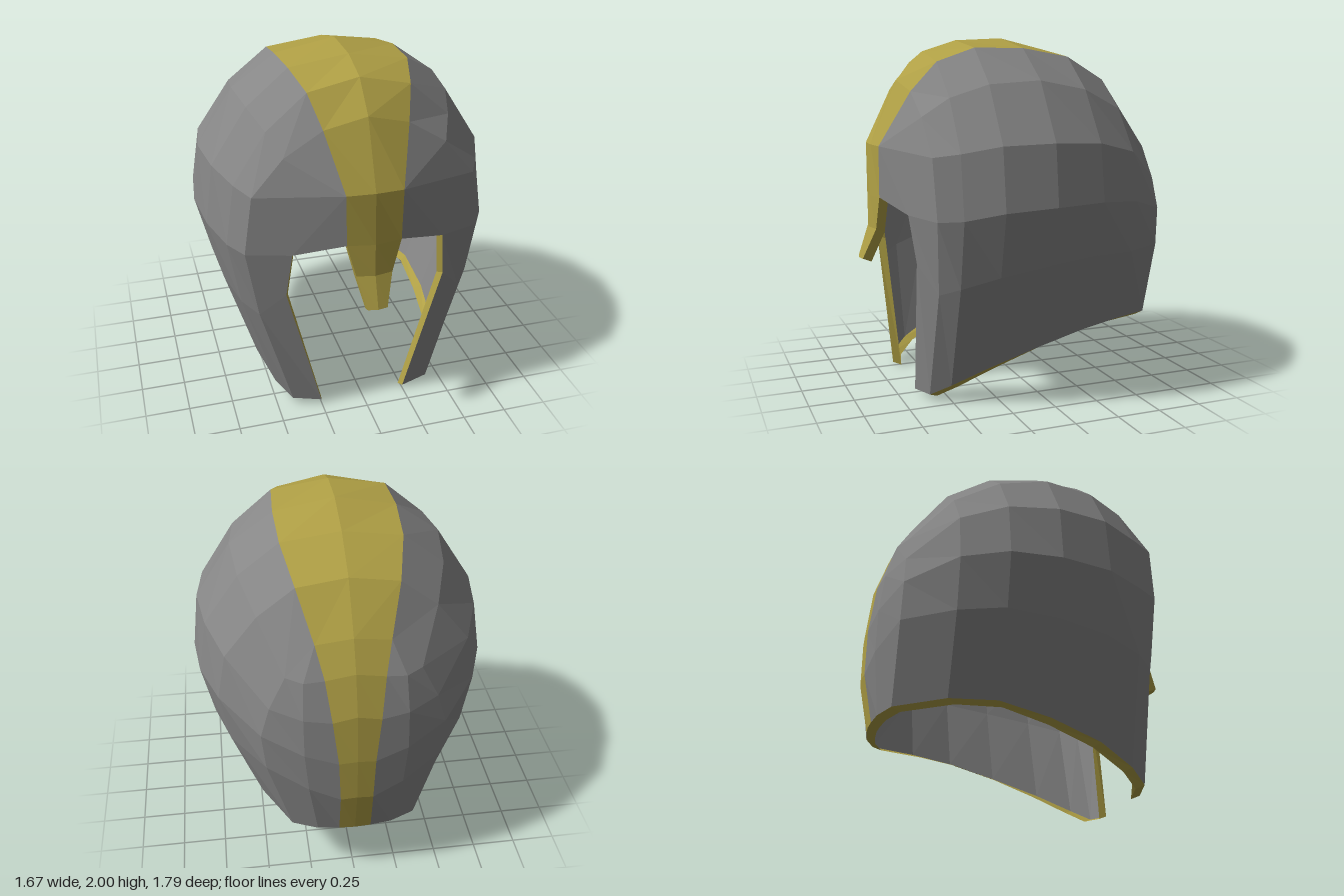
import * as THREE from 'three';

const RIM_DEPTH = 0.05;
const RIM_DROP = 0.02;

export function createModel() {
  const sheet = { flatShading: true, side: THREE.DoubleSide };
  const steel = new THREE.MeshStandardMaterial({ color: 0x868686, ...sheet });
  steel.name = 'steel grey';
  const gold = new THREE.MeshStandardMaterial({ color: 0xb0a045, ...sheet });
  gold.name = 'dull gold';

  // Points and outward faces of the left half; the right half is mirrored
  const points = [];
  const faces = { shell: [], crest: [] };
  const add = (x, y, z) => points.push(new THREE.Vector3(x, y, z)) - 1;
  const face = (part, ...ids) => faces[part].push([...new Set(ids)]);

  // Dome ribs, front to back: ridge, crest edge, then down the side
  const ribs = [];
  ribs.push([[0, 1.76, 0.665], [0.23, 1.70, 0.645], [0.44, 1.57, 0.645], [0.61, 1.37, 0.64],
    [0.655, 1.04, 0.63], [0.585, 0.64, 0.605], [0.41, 0.035, 0.61]].map(p => add(...p)));
  const sections = [
    [0.51, [0, 1.92], [0.28, 1.86], [0.50, 1.67], [0.68, 1.39], [0.73, 1.05], [0.665, 0.68], [0.49, 0.10]],
    [0.31, [0, 1.985], [0.33, 1.935], [0.56, 1.74], [0.76, 1.43], [0.805, 1.09], [0.73, 0.74], [0.56, 0.20]],
    [0.03, [0, 2.0], [0.343, 1.935], [0.59, 1.76], [0.795, 1.44], [0.835, 1.11], [0.755, 0.79], [0.59, 0.295]],
    [-0.25, [0, 1.935], [0.33, 1.89], [0.56, 1.71], [0.755, 1.43], [0.805, 1.12], [0.74, 0.82], [0.58, 0.365]],
    [-0.50, [0, 1.80], [0.275, 1.76], [0.48, 1.60], [0.66, 1.37], [0.71, 1.10], [0.66, 0.81], [0.50, 0.38]],
  ];
  for (const [z, ...row] of sections) ribs.push(row.map(([x, y]) => add(x, y, z)));
  ribs.push([[0, 1.56, -0.70], [0.20, 1.53, -0.69], [0.36, 1.37, -0.73], [0.45, 1.19, -0.75],
    [0.50, 1.02, -0.76], [0.48, 0.80, -0.765], [0.35, 0.36, -0.765]].map(p => add(...p)));
  for (let i = 0; i < ribs.length - 1; i++) {
    for (let j = 0; j < 6; j++) {
      face(j ? 'shell' : 'crest', ribs[i][j], ribs[i][j + 1], ribs[i + 1][j + 1], ribs[i + 1][j]);
    }
  }

  // Back of the neck: the last rib turns towards the crest
  const last = ribs[ribs.length - 1];
  const back = [[last[1], last[1], last[0]]];
  const backRows = [
    [[0.27, 1.36, -0.78], [0.16, 1.37, -0.785], [0, 1.40, -0.79]],
    [[0.28, 1.16, -0.835], [0.13, 1.15, -0.86], [0, 1.18, -0.865]],
    [[0.28, 0.94, -0.86], [0.10, 0.89, -0.89], [0, 0.90, -0.895]],
    [[0.26, 0.70, -0.86], [0.09, 0.63, -0.89], [0, 0.64, -0.895]],
    [[0.21, 0.355, -0.82], [0.09, 0.355, -0.835], [0, 0.355, -0.84]],
  ];
  for (const row of backRows) back.push(row.map(p => add(...p)));
  for (let j = 0; j < 5; j++) {
    const [m0, e0, c0] = back[j], [m1, e1, c1] = back[j + 1];
    face('shell', last[j + 1], last[j + 2], m1, m0);
    face('shell', m0, m1, e1, e0);
    face('crest', e0, e1, c1, c0);
  }

  // Crest running down the forehead into the nose guard: ridge and edge
  const nose = [[ribs[0][0], ribs[0][1]]];
  const noseRows = [
    [[0, 1.40, 0.82], [0.155, 1.40, 0.81]],
    [[0, 1.11, 0.83], [0.15, 1.115, 0.81]],
    [[0, 0.93, 0.84], [0.10, 0.93, 0.82]],
    [[0, 0.755, 0.90], [0.055, 0.755, 0.89]],
  ];
  for (const row of noseRows) nose.push(row.map(p => add(...p)));
  for (let j = 0; j < 4; j++) {
    face('crest', nose[j][0], nose[j + 1][0], nose[j + 1][1], nose[j][1]);
  }

  // Brow and cheek guard around the face opening
  const front = ribs[0];
  const opening = [[0.42, 1.05, 0.72], [0.45, 0.79, 0.685], [0.25, 0.02, 0.65]].map(p => add(...p));
  const temple = nose[1][1];
  face('shell', front[1], temple, front[2]);
  face('shell', front[2], temple, front[3]);
  face('shell', temple, opening[0], front[4], front[3]);
  face('shell', temple, nose[2][1], opening[0]);
  for (let j = 0; j < 2; j++) face('shell', opening[j], opening[j + 1], front[j + 5], front[j + 4]);

  // Rim flange turned inwards and slightly down along every open edge
  const turnIn = p => {
    const inward = new THREE.Vector3(-0.6 * p.x, 0, -p.z).setLength(RIM_DEPTH);
    return p.clone().add(inward).setY(p.y - RIM_DROP);
  };
  const edges = new Set();
  for (const f of [...faces.shell, ...faces.crest]) {
    f.forEach((a, k) => edges.add(a + ',' + f[(k + 1) % f.length]));
  }
  const rim = [];
  for (const key of edges) {
    const [a, b] = key.split(',').map(Number);
    const p = points[a], q = points[b];
    const onMiddle = p.x === 0 && q.x === 0;
    if (!edges.has(b + ',' + a) && !onMiddle) rim.push([q, p, turnIn(p), turnIn(q)]);
  }

  // Both halves of a part as one mesh
  const group = new THREE.Group();
  group.name = 'helmet';
  const build = (name, polygons, material) => {
    const position = [];
    for (const side of [1, -1]) {
      for (const poly of polygons) {
        const p = side > 0 ? poly : [...poly].reverse();
        for (let k = 1; k < p.length - 1; k++) {
          for (const q of [p[0], p[k], p[k + 1]]) position.push(q.x * side, q.y, q.z);
        }
      }
    }
    const geometry = new THREE.BufferGeometry();
    geometry.setAttribute('position', new THREE.Float32BufferAttribute(position, 3));
    geometry.computeVertexNormals();
    const mesh = new THREE.Mesh(geometry, material);
    mesh.name = name;
    group.add(mesh);
  };
  const polygons = list => list.map(f => f.map(i => points[i]));
  build('helmetShell', polygons(faces.shell), steel);
  build('crestAndNoseGuard', polygons(faces.crest), gold);
  build('rim', rim, gold);
  return group;
}
